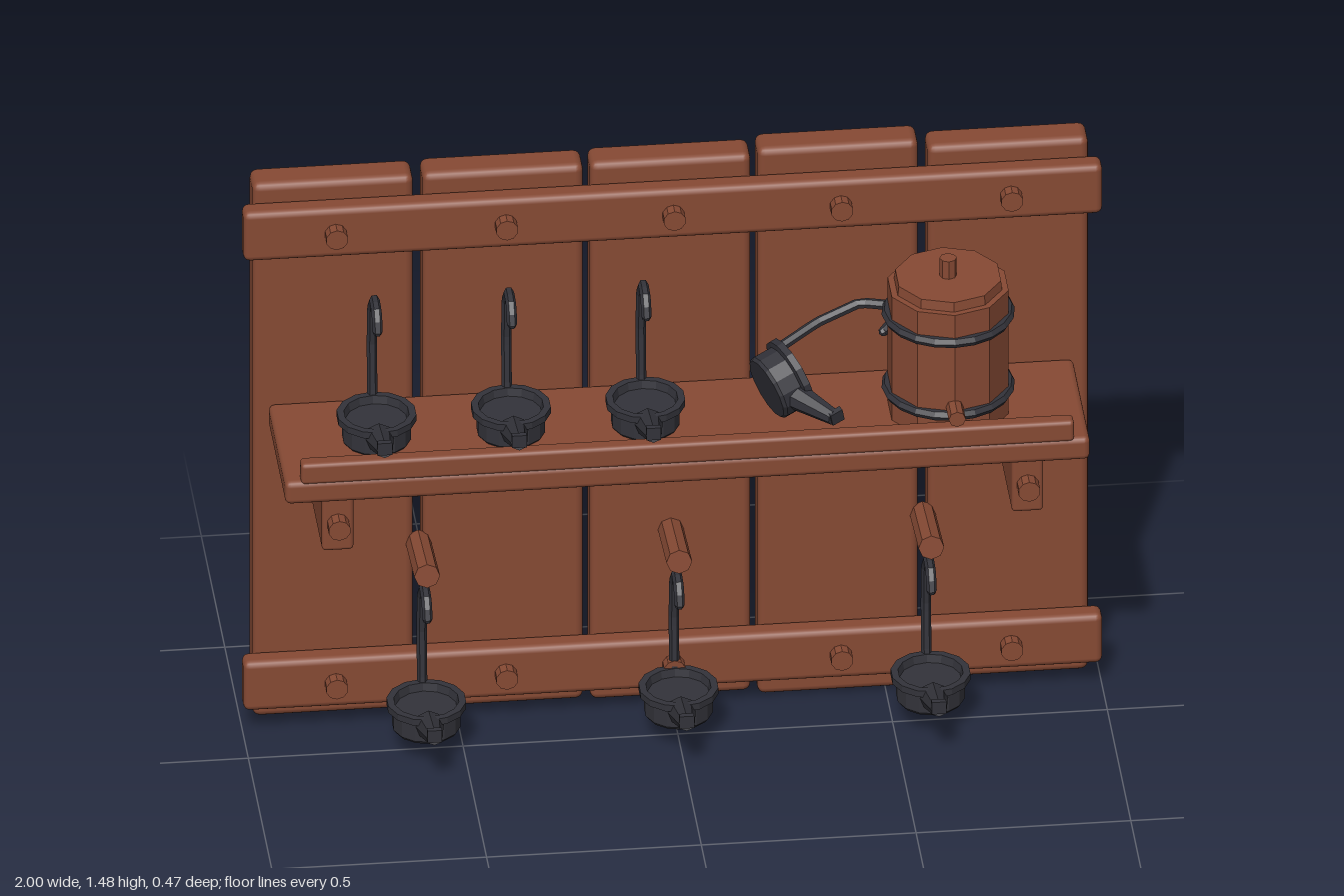
import * as THREE from 'three';
import { RoundedBoxGeometry } from 'three/addons/geometries/RoundedBoxGeometry.js';

const wood = new THREE.MeshStandardMaterial({ color: 0x874a34 });
wood.name = 'wood';
const facetWood = wood.clone();
facetWood.flatShading = true;
const iron = new THREE.MeshStandardMaterial({ color: 0x33333a, flatShading: true });
iron.name = 'iron';

function add(parent, name, geometry, material, x = 0, y = 0, z = 0) {
  const mesh = new THREE.Mesh(geometry, material);
  mesh.name = name;
  mesh.position.set(x, y, z);
  parent.add(mesh);
  return mesh;
}

// Softly bevelled board given by its extents
function board(parent, name, x0, x1, y0, y1, z0, z1, bevel = 0.014) {
  const geometry = new RoundedBoxGeometry(x1 - x0, y1 - y0, z1 - z0, 2, bevel);
  return add(parent, name, geometry, wood, (x0 + x1) / 2, (y0 + y1) / 2, (z0 + z1) / 2);
}

// Cylinder between two points
function rod(parent, name, a, b, rA, rB, sides, material) {
  const from = new THREE.Vector3(...a), to = new THREE.Vector3(...b);
  const dir = to.clone().sub(from);
  const mesh = add(parent, name, new THREE.CylinderGeometry(rB, rA, dir.length(), sides), material);
  mesh.position.copy(from).add(to).multiplyScalar(0.5);
  mesh.quaternion.setFromUnitVectors(new THREE.Vector3(0, 1, 0), dir.normalize());
  return mesh;
}

// Ladle: shallow pan, pouring spout at +z, hooked handle at -z
function makeLadle() {
  const ladle = new THREE.Group();
  ladle.name = 'ladle';
  const profile = [[0, 0], [0.074, 0], [0.08, 0.008], [0.08, 0.055], [0.093, 0.058], [0.093, 0.075],
    [0.076, 0.075], [0.072, 0.055], [0, 0.055]].map(p => new THREE.Vector2(...p));
  add(ladle, 'ladleBowl', new THREE.LatheGeometry(profile, 14), iron);
  rod(ladle, 'ladleSpout', [0, 0.043, 0.06], [0, 0.078, 0.175], 0.034, 0.019, 8, iron);
  add(ladle, 'spoutLip', new THREE.BoxGeometry(0.034, 0.032, 0.014), iron, 0, 0.084, 0.175);

  const points = [[0.04, -0.08], [0.07, -0.088], [0.2, -0.1], [0.31, -0.088], [0.357, -0.04], [0.345, 0.01], [0.307, 0.023]]
    .map(([y, z]) => new THREE.Vector3(0, y, z));
  const path = new THREE.CatmullRomCurve3(points, false, 'catmullrom', 0);
  add(ladle, 'ladleHandle', new THREE.TubeGeometry(path, 18, 0.012, 6), iron);
  add(ladle, 'handleTip', new THREE.SphereGeometry(0.012, 6, 4), iron, 0, 0.307, 0.023);
  return ladle;
}

function makeBarrel() {
  const barrel = new THREE.Group();
  barrel.name = 'barrel';
  add(barrel, 'barrelBody', new THREE.CylinderGeometry(0.143, 0.143, 0.335, 10), facetWood, 0, 0.1675, 0);
  add(barrel, 'barrelLid', new THREE.CylinderGeometry(0.125, 0.128, 0.026, 10), facetWood, 0, 0.346, 0);
  add(barrel, 'lidKnob', new THREE.CylinderGeometry(0.02, 0.02, 0.05, 8), facetWood, 0, 0.381, 0);
  for (const y of [0.065, 0.262]) {
    const hoop = add(barrel, 'barrelHoop', new THREE.TorusGeometry(0.142, 0.013, 6, 20), iron, 0, y, 0);
    hoop.rotation.x = Math.PI / 2;
  }
  rod(barrel, 'barrelTap', [0, 0.085, 0.12], [0, 0.085, 0.195], 0.02, 0.02, 8, facetWood);
  return barrel;
}

export function createModel() {
  const model = new THREE.Group();
  model.name = 'wallRack';

  // Back planks of slightly uneven height
  const planks = [[-0.786, 0.02, 1.46], [-0.39, 0.018, 1.463], [0, 0.014, 1.466], [0.39, 0.003, 1.478], [0.786, 0.02, 1.46]];
  for (const [x, y0, y1] of planks) board(model, 'backPlank', x - 0.187, x + 0.187, y0, y1, -0.235, -0.15, 0.018);

  // Cross rails with a bolt on each plank
  for (const y of [0.135, 1.35]) {
    board(model, 'crossRail', -1, 1, y - 0.066, y + 0.066, -0.152, -0.095, 0.016);
    for (const [x] of planks) rod(model, 'railBolt', [x, y, -0.11], [x, y, -0.065], 0.026, 0.026, 10, facetWood);
  }

  // Shelf, front lip and brackets
  board(model, 'shelf', -0.937, 0.937, 0.81, 0.87, -0.15, 0.215);
  board(model, 'shelfLip', -0.9, 0.9, 0.862, 0.917, 0.175, 0.215, 0.01);
  for (const x of [-0.803, 0.803]) {
    board(model, 'shelfBracket', x - 0.037, x + 0.037, 0.615, 0.815, -0.15, 0.108, 0.01);
    rod(model, 'bracketBolt', [x, 0.69, 0.09], [x, 0.69, 0.143], 0.026, 0.026, 10, facetWood);
  }

  // Angled pegs, each with a ladle beneath
  for (const x of [-0.587, 0, 0.587]) {
    rod(model, 'peg', [x, 0.466, -0.16], [x, 0.487, 0.032], 0.03, 0.03, 8, facetWood);
    const ladle = makeLadle();
    ladle.position.set(x, 0.067, 0.013);
    model.add(ladle);
  }

  // Ladles standing on the shelf
  for (const x of [-0.706, -0.393, -0.08]) {
    const ladle = makeLadle();
    ladle.position.set(x, 0.868, 0.04);
    model.add(ladle);
  }

  // Ladle tipped over with its handle behind the barrel
  const tipped = makeLadle();
  tipped.name = 'tippedLadle';
  const up = new THREE.Vector3(0.88, 0.28, -0.36).normalize();
  const side = up.clone().cross(new THREE.Vector3(0.08, -0.03, 0.155)).normalize();
  const forward = side.clone().cross(up);
  tipped.setRotationFromMatrix(new THREE.Matrix4().makeBasis(side, up, forward));
  tipped.position.set(0.2, 0.96, 0.062);
  model.add(tipped);

  const barrel = makeBarrel();
  barrel.position.set(0.625, 0.868, 0.04);
  model.add(barrel);
  return model;
}
